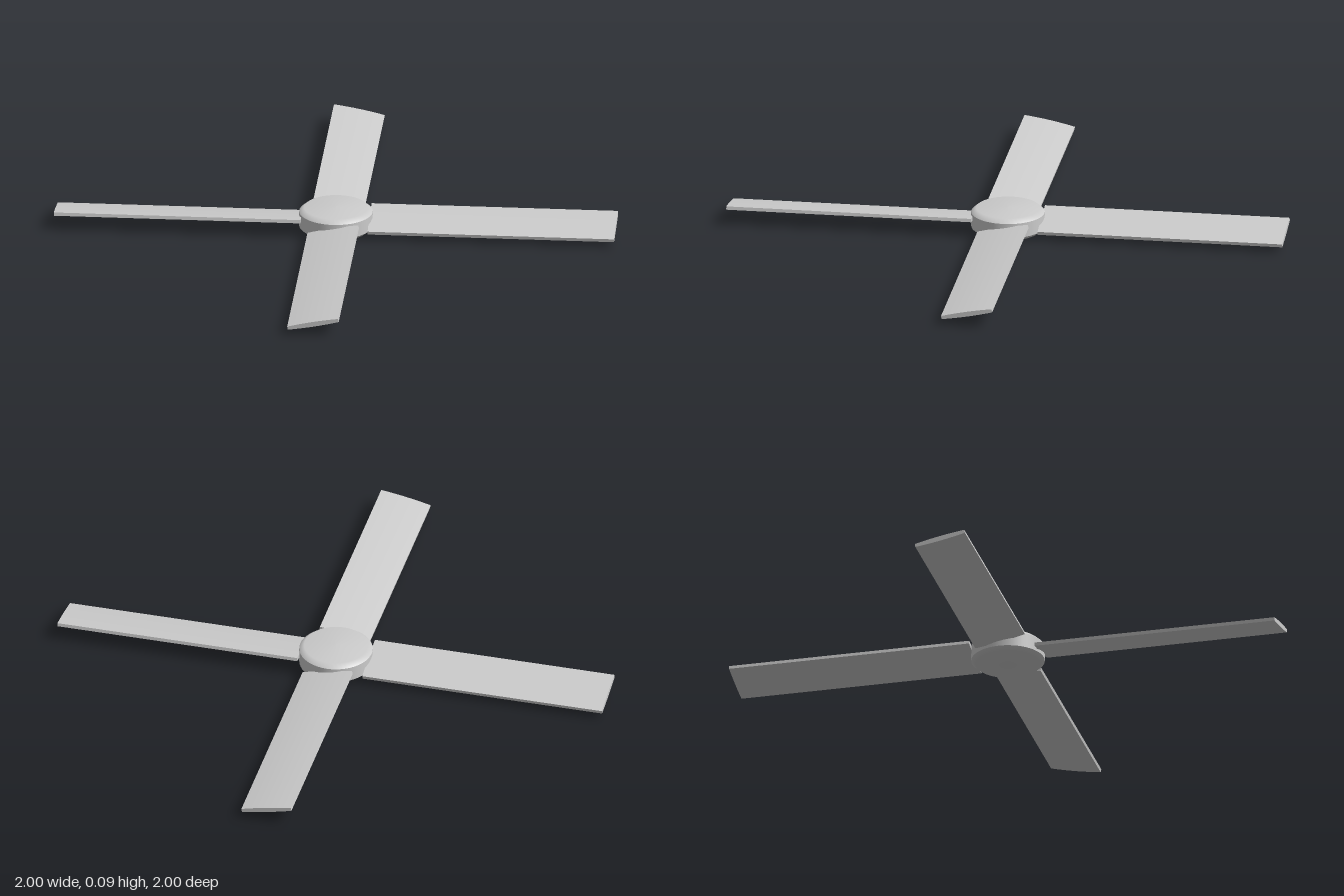
import * as THREE from 'three';

export function createModel() {
  const rotor = new THREE.Group();
  rotor.name = 'rotor';
  const grey = new THREE.MeshStandardMaterial({ color: 0xcccccc });
  grey.name = 'grey metal';

  // Hub: shallow domes above and below a short wall, with crisp rims
  const hubParts = {
    hubBase: [[0, 0.002], [0.113, 0.005], [0.131, 0.02]],
    hubWall: [[0.131, 0.02], [0.131, 0.074]],
    hubCap: [[0.131, 0.074], [0.113, 0.089], [0, 0.092]],
  };
  for (const [name, profile] of Object.entries(hubParts)) {
    const points = profile.map(([r, y]) => new THREE.Vector2(r, y - 0.002));
    const part = new THREE.Mesh(new THREE.LatheGeometry(points, 48), grey);
    part.name = name;
    rotor.add(part);
  }

  // Blade: thin bar, slightly thicker along its middle, pitched about its length
  const inner = 0.12, outer = 1, width = 0.185, edge = 0.012, bulge = 0.003;
  const bladeGeometry = new THREE.BoxGeometry(width, edge, outer - inner, 8, 1, 1);
  const position = bladeGeometry.attributes.position;
  for (let i = 0; i < position.count; i++) {
    const u = position.getX(i) / (width / 2);
    const y = position.getY(i);
    position.setY(i, y + Math.sign(y) * bulge * (1 - u * u));
  }
  bladeGeometry.computeVertexNormals();
  bladeGeometry.rotateZ(THREE.MathUtils.degToRad(11));
  bladeGeometry.translate(0, 0.046, (inner + outer) / 2);
  for (let i = 0; i < 4; i++) {
    const blade = new THREE.Mesh(bladeGeometry, grey);
    blade.name = `blade${i + 1}`;
    blade.rotation.y = (i * Math.PI) / 2;
    rotor.add(blade);
  }
  return rotor;
}
